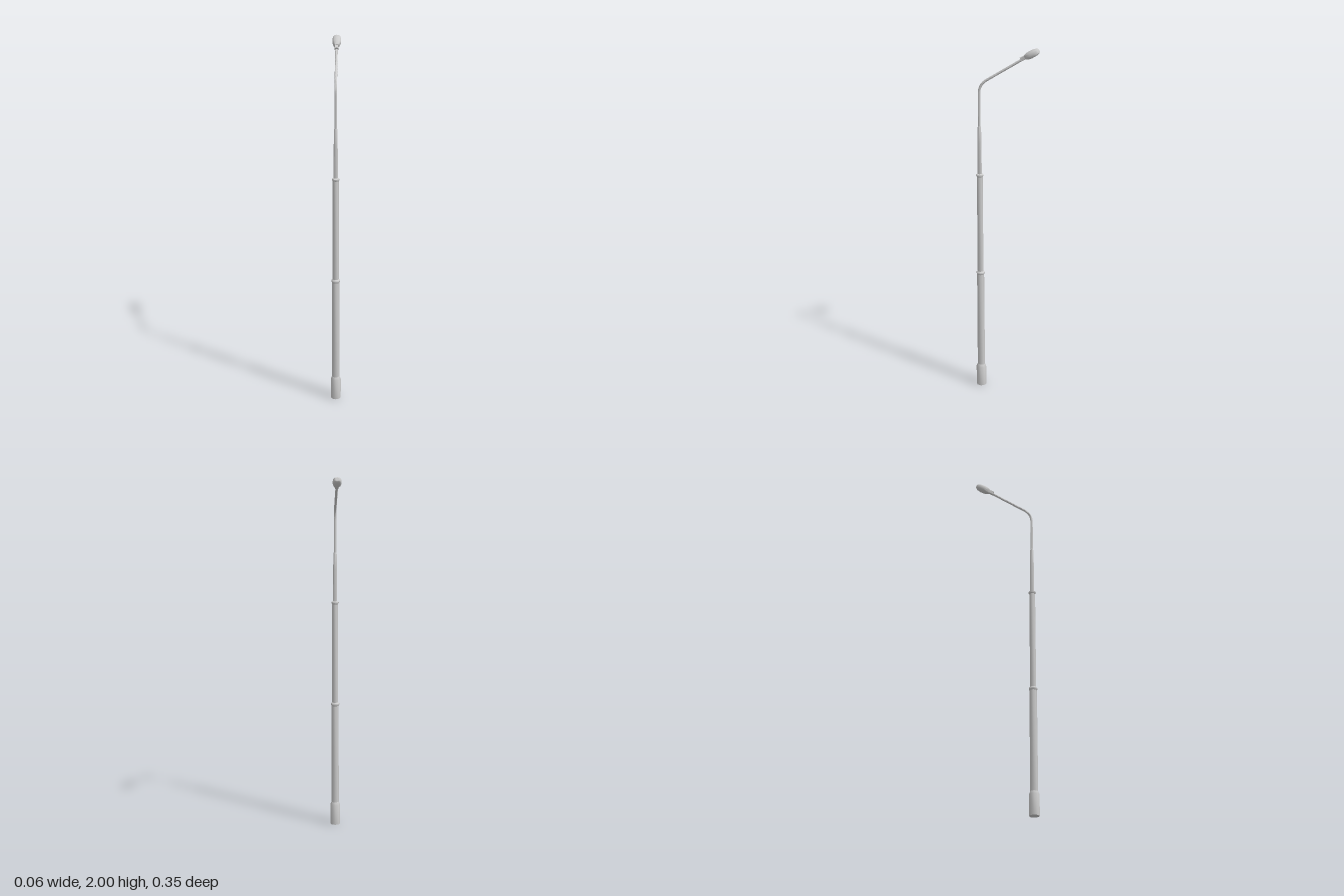
import * as THREE from 'three';
import { toCreasedNormals } from 'three/addons/utils/BufferGeometryUtils.js';

const POLE_Z = 0.145;
const SIDES = 8;

function createMesh(name, geometry) {
  const mesh = new THREE.Mesh(
    toCreasedNormals(geometry, 0.9),
    new THREE.MeshStandardMaterial({ color: 0xcccccc })
  );
  mesh.name = name;
  return mesh;
}

// Octagonal turned section from [radius, height] pairs, bottom to top
function poleSection(name, profile) {
  const points = profile.map(([r, y]) => new THREE.Vector2(r, y));
  const mesh = createMesh(name, new THREE.LatheGeometry(points, SIDES));
  mesh.position.z = POLE_Z;
  return mesh;
}

// Closed loft along +z from rings [z, half width, top, bottom]
function loft(rings, sides) {
  const positions = [];
  const index = [];
  const round = (v) => Math.sign(v) * Math.pow(Math.abs(v), 0.8);
  for (const [z, w, top, bottom] of rings) {
    for (let j = 0; j < sides; j++) {
      const a = (j / sides) * Math.PI * 2;
      const mid = (top + bottom) / 2;
      positions.push(w * round(Math.cos(a)), mid + ((top - bottom) / 2) * round(Math.sin(a)), z);
    }
  }
  for (let i = 0; i < rings.length - 1; i++) {
    for (let j = 0; j < sides; j++) {
      const a = i * sides + j;
      const b = i * sides + ((j + 1) % sides);
      index.push(a, b, b + sides, a, b + sides, a + sides);
    }
  }
  const last = (rings.length - 1) * sides;
  for (let j = 1; j < sides - 1; j++) {
    index.push(0, j + 1, j, last, last + j, last + j + 1);
  }
  const geometry = new THREE.BufferGeometry();
  geometry.setAttribute('position', new THREE.Float32BufferAttribute(positions, 3));
  geometry.setIndex(index);
  return geometry;
}

export function createModel() {
  const group = new THREE.Group();
  group.name = 'streetLamp';

  // Telescoping pole, each stage topped by a small collar
  group.add(
    poleSection('base', [[0, 0], [0.028, 0], [0.028, 0.115], [0.021, 0.132], [0, 0.132]]),
    poleSection('lowerPole', [[0.021, 0.13], [0.02, 0.7]]),
    poleSection('lowerCollar', [[0.02, 0.698], [0.0235, 0.704], [0.0235, 0.712], [0.016, 0.718]]),
    poleSection('middlePole', [[0.0165, 0.71], [0.016, 1.28]]),
    poleSection('upperCollar', [[0.016, 1.278], [0.0205, 1.283], [0.0205, 1.29], [0.011, 1.295]]),
    poleSection('upperPole', [[0.0115, 1.288], [0.0105, 1.47], [0.0095, 1.555], [0.007, 1.565]])
  );

  // Bent arm: straight up, round the bend, then out towards the back
  const v = (y, z) => new THREE.Vector3(0, y, z);
  const path = new THREE.CurvePath();
  path.add(new THREE.LineCurve3(v(1.55, POLE_Z), v(1.745, POLE_Z)));
  path.add(new THREE.QuadraticBezierCurve3(v(1.745, POLE_Z), v(1.794, POLE_Z), v(1.82, 0.103)));
  path.add(new THREE.LineCurve3(v(1.82, 0.103), v(1.935, -0.08)));
  group.add(createMesh('arm', new THREE.TubeGeometry(path, 48, 0.0068, SIDES)));

  // Lamp head: socket and rounded housing, lofted along the tilted axis
  const head = new THREE.Group();
  head.name = 'lampHead';
  head.position.set(0, 1.937, -0.075);
  head.rotation.set(0.48, Math.PI, 0, 'YXZ');
  head.rotation.x = -0.48;
  head.add(createMesh('socket', loft([
    [0, 0.011, 0.011, -0.011],
    [0.028, 0.011, 0.012, -0.011],
    [0.036, 0.013, 0.013, -0.012],
  ], SIDES)));
  head.add(createMesh('housing', loft([
    [0.026, 0.013, 0.013, -0.012],
    [0.036, 0.0185, 0.017, -0.017],
    [0.056, 0.0235, 0.02, -0.02],
    [0.078, 0.0235, 0.02, -0.019],
    [0.094, 0.0215, 0.017, -0.016],
    [0.104, 0.016, 0.013, -0.012],
    [0.108, 0.009, 0.007, -0.008],
  ], 12)));
  group.add(head);

  return group;
}
